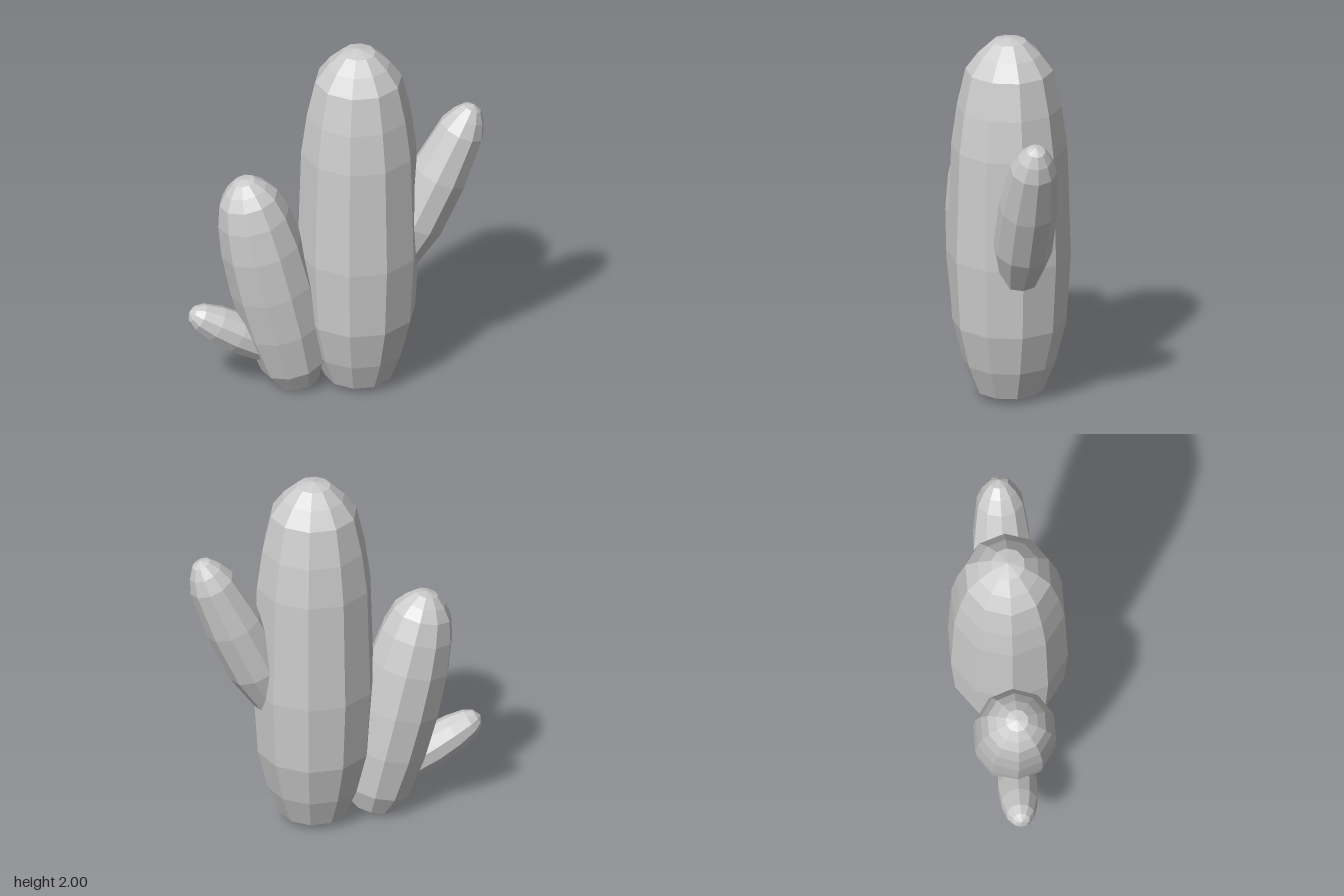
import * as THREE from 'three';

const SIDES = 10;

// One faceted stem: a lathed profile of [radius, height] pairs, leaning along (dx, dy) from its base
function makeStem(name, material, base, direction, profile) {
  const points = profile.map(([r, h]) => new THREE.Vector2(r, h));
  const geometry = new THREE.LatheGeometry(points, SIDES, Math.PI / 2);
  const stem = new THREE.Mesh(geometry, material);
  stem.name = name;
  stem.position.set(base[0], base[1], 0);
  stem.rotation.z = Math.atan2(-direction[0], direction[1]);
  return stem;
}

export function createModel() {
  const group = new THREE.Group();
  group.name = 'cactus';
  const material = new THREE.MeshStandardMaterial({ color: 0xcccccc, flatShading: true });

  // Tall upright trunk
  group.add(makeStem('mainTrunk', material, [0.114, 0], [0, 1], [
    [0, 0.017], [0.11, 0.02], [0.18, 0.04], [0.245, 0.2], [0.3, 0.42], [0.323, 0.8],
    [0.305, 1.4], [0.275, 1.62], [0.23, 1.82], [0.165, 1.91], [0.09, 1.98], [0, 2],
  ]));

  // Shorter trunk leaning outward on the right side
  group.add(makeStem('sideTrunk', material, [-0.205, 0.032], [-0.23, 0.97], [
    [0, -0.012], [0.075, -0.01], [0.118, 0], [0.175, 0.11], [0.212, 0.35], [0.224, 0.6],
    [0.217, 0.85], [0.193, 1.03], [0.158, 1.15], [0.113, 1.21], [0.06, 1.257], [0, 1.27],
  ]));

  // Arm growing upward from the left of the main trunk
  group.add(makeStem('upperArm', material, [0.285, 0.645], [0.42, 0.91], [
    [0, 0.02], [0.085, 0.03], [0.112, 0.11], [0.155, 0.32], [0.155, 0.62],
    [0.124, 0.9], [0.09, 0.98], [0.05, 1.035], [0, 1.055],
  ]));

  // Small arm growing from the side trunk
  group.add(makeStem('lowerArm', material, [-0.33, 0.227], [-0.87, 0.5], [
    [0, 0], [0.07, 0.01], [0.097, 0.08], [0.108, 0.23], [0.098, 0.36],
    [0.074, 0.46], [0.045, 0.503], [0, 0.523],
  ]));

  return group;
}
